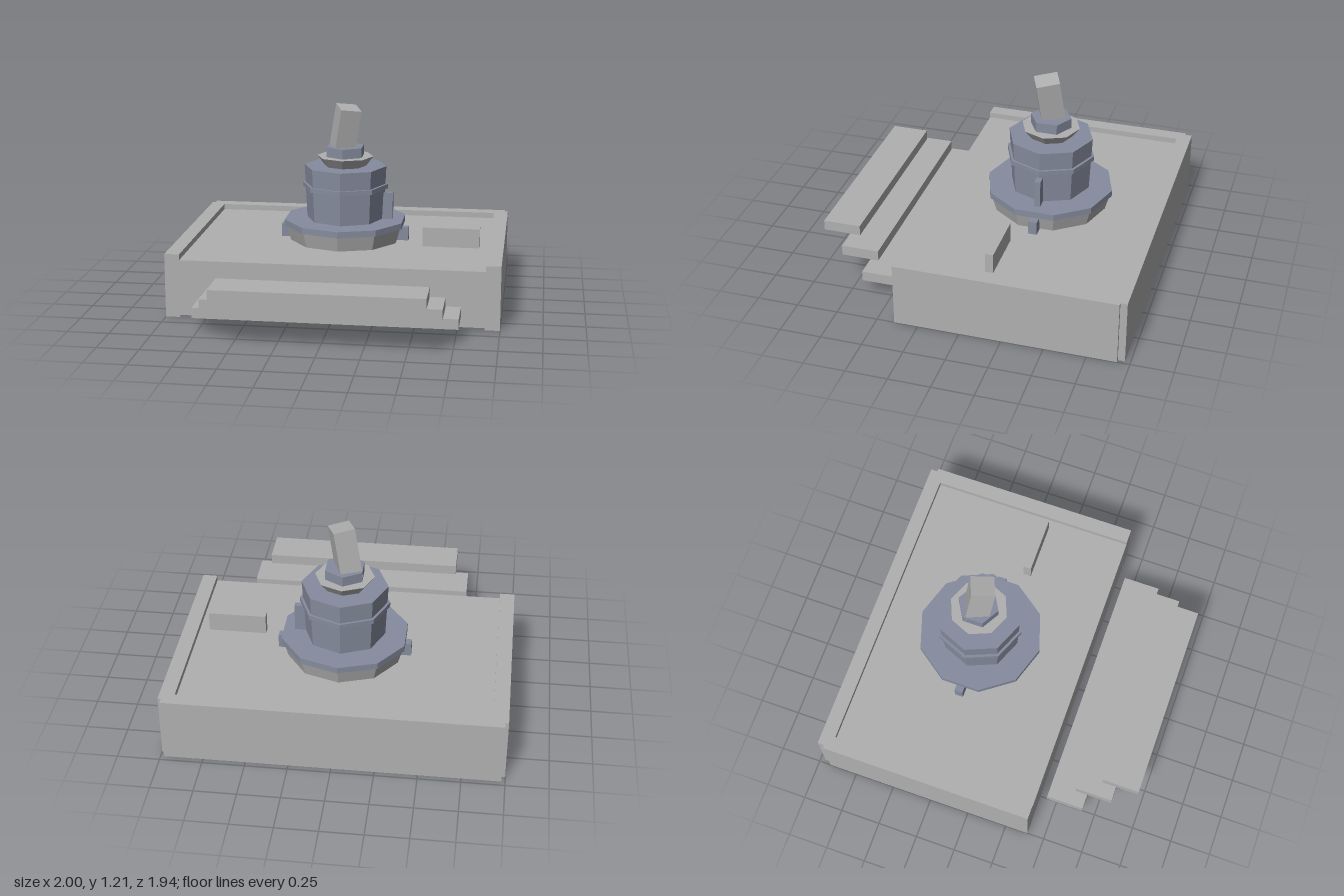
import * as THREE from 'three';

export function createModel() {
  const model = new THREE.Group();
  model.name = 'leverTurretOnPlatform';

  const grey = new THREE.MeshStandardMaterial({ color: 0xb0b0b0, flatShading: true });
  grey.name = 'stone grey';
  const blue = new THREE.MeshStandardMaterial({ color: 0x868c9e, flatShading: true });
  blue.name = 'blue steel';

  const add = (parent, name, geometry, material) => {
    const mesh = new THREE.Mesh(geometry, material);
    mesh.name = name;
    parent.add(mesh);
    return mesh;
  };

  // Box given by its lower and upper limits on each axis
  const box = (parent, name, material, [x0, x1], [y0, y1], [z0, z1]) => {
    const mesh = add(parent, name, new THREE.BoxGeometry(x1 - x0, y1 - y0, z1 - z0), material);
    mesh.position.set((x0 + x1) / 2, (y0 + y1) / 2, (z0 + z1) / 2);
    return mesh;
  };

  // Upright faceted drum with a corner pointing forward
  const drum = (parent, name, material, sides, rBottom, rTop, y0, y1) => {
    const mesh = add(parent, name, new THREE.CylinderGeometry(rTop, rBottom, y1 - y0, sides), material);
    mesh.position.y = (y0 + y1) / 2;
    return mesh;
  };

  // Platform: recessed deck with a rim on three sides
  const platform = new THREE.Group();
  platform.name = 'platform';
  model.add(platform);
  box(platform, 'deck', grey, [-0.91, 0.91], [0.013, 0.355], [-0.88, 0.394]);
  box(platform, 'backRim', grey, [-0.98, 0.98], [0, 0.39], [-0.968, -0.88]);
  box(platform, 'leftRim', grey, [0.91, 1], [0, 0.39], [-0.927, 0.394]);
  box(platform, 'rightRim', grey, [-1, -0.91], [0, 0.39], [-0.927, 0.394]);
  box(platform, 'deckBlock', grey, [0.5, 0.85], [0.355, 0.475], [-0.162, -0.113]);

  // Three floating steps in front
  const steps = new THREE.Group();
  steps.name = 'steps';
  model.add(steps);
  [
    [0.773, 0.09, 0.152, 0.443, 0.673],
    [0.692, 0.192, 0.255, 0.599, 0.828],
    [0.612, 0.295, 0.357, 0.741, 0.968],
  ].forEach(([w, y0, y1, z0, z1], i) => box(steps, `step${i + 1}`, grey, [-w, w], [y0, y1], [z0, z1]));

  // Turret: stacked faceted drums
  const turret = new THREE.Group();
  turret.name = 'turret';
  turret.position.z = -0.267;
  model.add(turret);
  drum(turret, 'foot', grey, 10, 0.345, 0.372, 0.355, 0.449);
  drum(turret, 'flange', blue, 10, 0.385, 0.385, 0.449, 0.487);
  drum(turret, 'body', blue, 8, 0.241, 0.257, 0.487, 0.82);
  drum(turret, 'bodyBand', blue, 8, 0.268, 0.268, 0.68, 0.708);
  drum(turret, 'collar', grey, 8, 0.13, 0.176, 0.82, 0.88);
  drum(turret, 'socket', blue, 6, 0.125, 0.125, 0.85, 0.941);

  // Side lugs at the foot and the upright bar on the body
  for (const [side, s] of [['left', 1], ['right', -1]]) {
    const lug = box(turret, `${side}Lug`, blue, [0.33, 0.4], [0.355, 0.437], [-0.026, 0.026]);
    lug.position.x *= s;
  }
  box(turret, 'bodyBar', blue, [0.22, 0.3], [0.487, 0.655], [-0.018, 0.018]);

  // Tilted lever; its origin is the centre of its top face
  const leverGeometry = new THREE.BoxGeometry(0.128, 0.31, 0.14).translate(0, -0.155, 0);
  const lever = add(turret, 'lever', leverGeometry, grey);
  lever.position.set(0.024, 1.188, 0.024);
  lever.rotation.set(0.17, 0.37, -0.18);

  return model;
}
